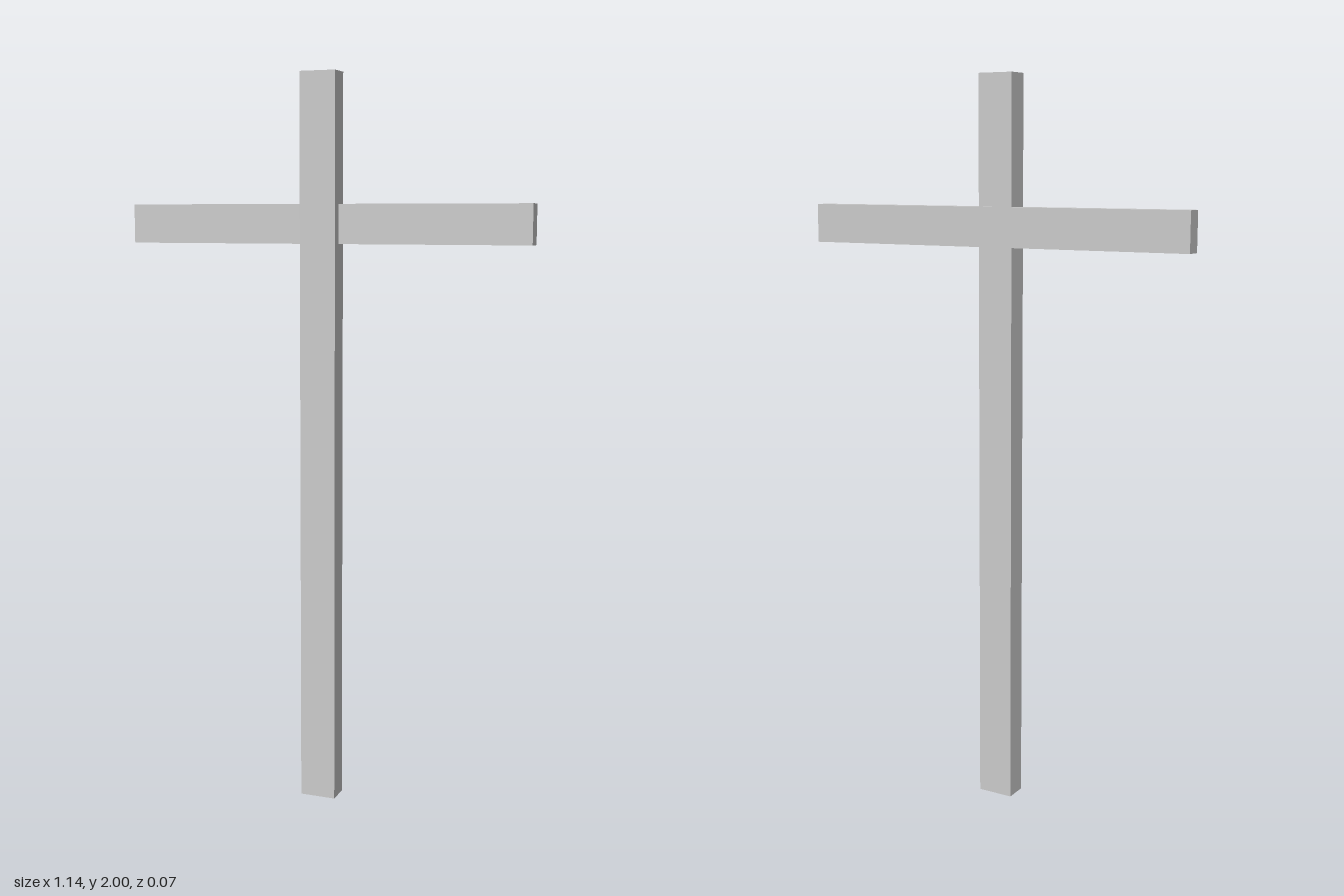
import * as THREE from 'three';

const material = new THREE.MeshStandardMaterial({
  color: 0xcccccc, flatShading: true, side: THREE.DoubleSide,
});

// Box given by its extents along each axis
function beam(name, [x0, x1], [y0, y1], [z0, z1]) {
  const geometry = new THREE.BoxGeometry(x1 - x0, y1 - y0, z1 - z0);
  geometry.translate((x0 + x1) / 2, (y0 + y1) / 2, (z0 + z1) / 2);
  const mesh = new THREE.Mesh(geometry, material);
  mesh.name = name;
  return mesh;
}

export function createModel() {
  const group = new THREE.Group();
  group.name = 'woodenCross';

  // Upright post, slightly off centre, open at its foot
  const post = beam('uprightPost', [-0.057, 0.043], [0, 2], [-0.025, 0.037]);
  const index = Array.from(post.geometry.index.array);
  index.splice(18, 6); // drop the bottom face
  post.geometry.setIndex(index);
  post.geometry.clearGroups();

  // Crossbar let into the back of the post
  const crossbar = beam('crossbar', [-0.568, 0.568], [1.55, 1.656], [-0.037, 0.008]);

  group.add(post, crossbar);
  return group;
}
